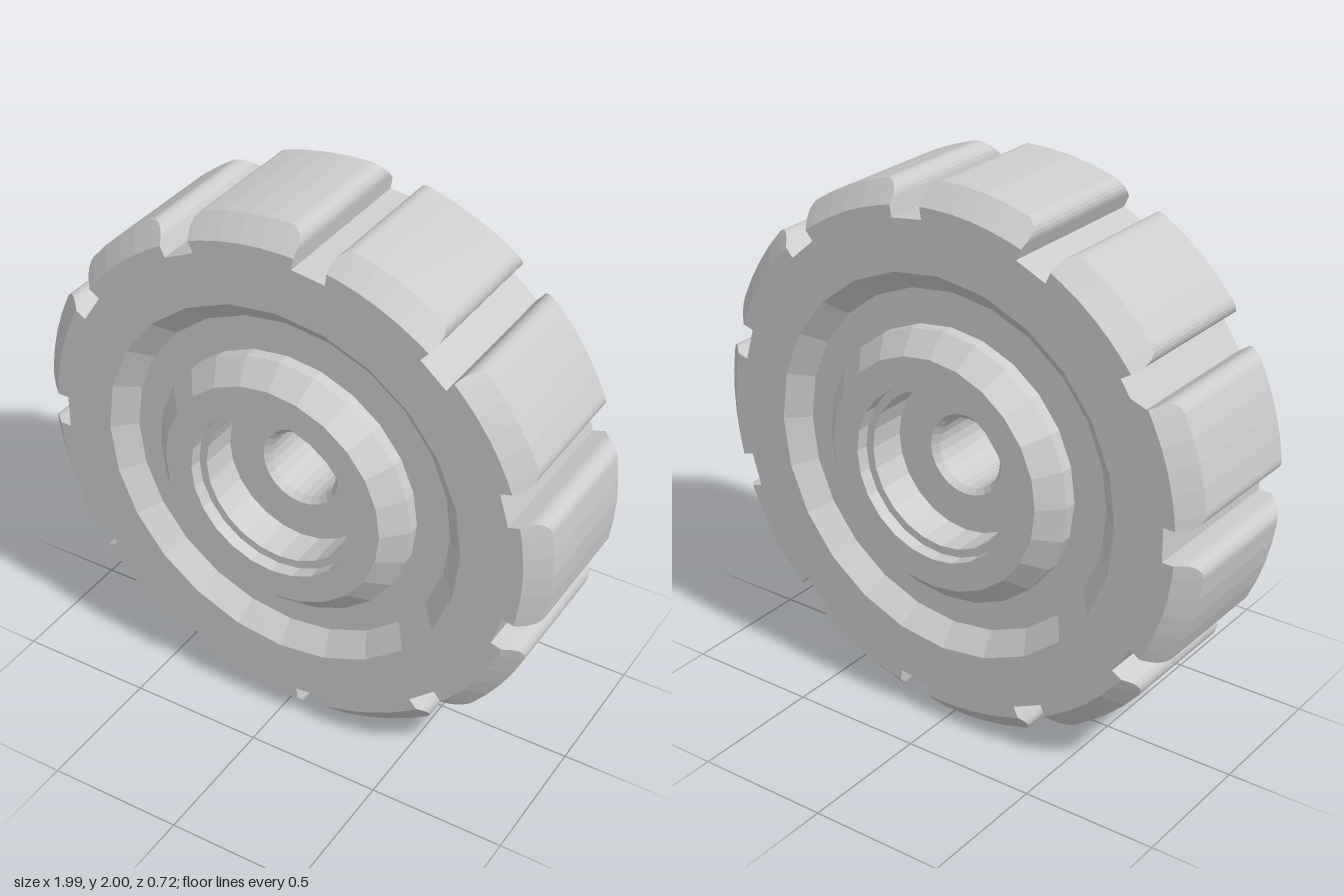
import * as THREE from 'three';

const SLOTS = 11, SIDES = 24;
const HALF = 0.31;         // half width of the tyre
const FLOOR = 0.88;        // radius of the slot floors
const BEVEL_R = 0.925;     // radius where the block bevel starts
const SLOT_H = 0.062;      // half width of a slot
const FILLET = 0.05;       // rounding of the block corners
const RIM = 0.7;           // radius of the dished opening

const material = new THREE.MeshStandardMaterial({ color: 0xcccccc, flatShading: true });

function addMesh(group, geometry, name) {
  const mesh = new THREE.Mesh(geometry, material);
  mesh.name = name;
  group.add(mesh);
}

// Closed tread outline: eleven slots with rounded block corners between them
function treadOutline() {
  const cv = SLOT_H + FILLET;
  const cu = Math.sqrt((1 - FILLET) ** 2 - cv * cv);
  const beta = Math.atan2(cv, cu);
  const side = [[FLOOR, SLOT_H], [Math.sqrt(BEVEL_R ** 2 - SLOT_H ** 2), SLOT_H]];
  for (let i = 0; i <= 6; i++) {
    const t = -Math.PI / 2 + (beta + Math.PI / 2) * i / 6;
    side.push([cu + FILLET * Math.cos(t), cv + FILLET * Math.sin(t)]);
  }
  const slot = [...side.map(([u, v]) => [u, -v]).reverse(), ...side];
  const step = Math.PI * 2 / SLOTS;
  const points = [];
  for (let k = 0; k < SLOTS; k++) {
    const a = Math.PI + k * step, c = Math.cos(a), s = Math.sin(a);
    for (const [u, v] of slot) points.push(new THREE.Vector2(u * c - v * s, u * s + v * c));
    for (let i = 1; i < 4; i++) {
      const t = a + beta + (step - 2 * beta) * i / 4;
      points.push(new THREE.Vector2(Math.cos(t), Math.sin(t)));
    }
  }
  return points;
}

// Outline pulled in to the radius where the bevel meets the flat side
const clampToBevel = p => p.clone().multiplyScalar(Math.min(1, BEVEL_R / p.length()));

// Tread surface: bevel, running face and bevel swept along the outline
function treadGeometry(outline) {
  const positions = [], index = [], n = outline.length;
  for (const p of outline) {
    const q = clampToBevel(p);
    const z = HALF - Math.max(0, p.length() - BEVEL_R) * 0.93;
    positions.push(q.x, q.y, HALF, p.x, p.y, z, p.x, p.y, -z, q.x, q.y, -HALF);
  }
  for (let i = 0; i < n; i++) {
    const j = (i + 1) % n;
    for (let k = 0; k < 3; k++) {
      const a = i * 4 + k, b = j * 4 + k;
      index.push(a, a + 1, b, b, a + 1, b + 1);
    }
  }
  const geometry = new THREE.BufferGeometry();
  geometry.setAttribute('position', new THREE.Float32BufferAttribute(positions, 3));
  geometry.setIndex(index);
  geometry.computeVertexNormals();
  return geometry;
}

// Flat side of the tyre with the opening for the dished hub
function sideGeometry(outline) {
  const shape = new THREE.Shape(outline.map(clampToBevel));
  const hole = [];
  for (let i = 0; i < SIDES; i++) {
    const t = -i * Math.PI * 2 / SIDES;
    hole.push(new THREE.Vector2(RIM * Math.cos(t), RIM * Math.sin(t)));
  }
  shape.holes.push(new THREE.Path(hole));
  return new THREE.ShapeGeometry(shape).translate(0, 0, HALF);
}

// Dish, raised hub, stepped recess and axle hole, mirrored front to back
function hubGeometry() {
  const half = [
    [RIM, HALF], [0.625, 0.24], [0.5, 0.24], [0.5, 0.285], [0.425, 0.36],
    [0.32, 0.36], [0.32, 0.31], [0.29, 0.31], [0.29, 0.165],
    [0.15, 0.165], [0.13, 0.145],
  ];
  const profile = [...half, ...half.map(([r, z]) => [r, -z]).reverse()];
  return new THREE.LatheGeometry(profile.map(([r, z]) => new THREE.Vector2(r, z)), SIDES)
    .rotateX(Math.PI / 2);
}

export function createModel() {
  const wheel = new THREE.Group();
  wheel.name = 'wheel';
  const outline = treadOutline();
  addMesh(wheel, treadGeometry(outline), 'tread');
  addMesh(wheel, sideGeometry(outline), 'frontSide');
  addMesh(wheel, sideGeometry(outline).rotateX(Math.PI), 'backSide');
  addMesh(wheel, hubGeometry(), 'hub');
  wheel.position.y = 1;

  const model = new THREE.Group();
  model.name = 'treadedWheel';
  model.add(wheel);
  return model;
}
